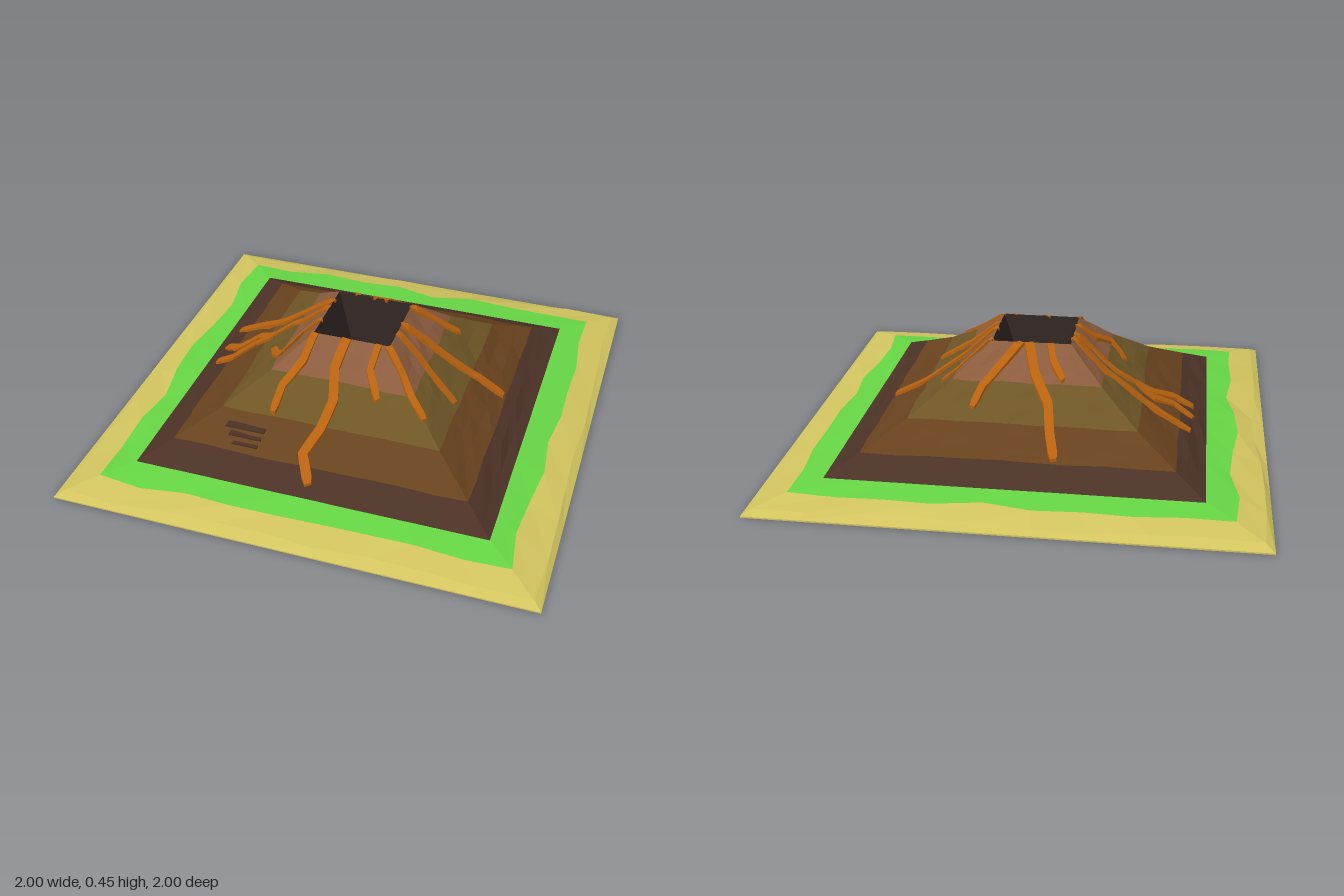
import * as THREE from 'three';

const SAND = 0xd2c45f, GRASS = 0x66d644, LAVA = 0xb8620f, CRATER = 0x2d2320;
const SEG = 9; // segments per side of a square ring
const RIM = 0.167;

// Seeded noise in -1..1
let seed = 7;
const rnd = () => {
  seed = (seed * 16807) % 2147483647;
  return (seed / 2147483647) * 2 - 1;
};

// Square ring of points, counter-clockwise from above; corners stay crisp
function ring(half, y, jitter = 0, jitterY = 0) {
  const pts = [];
  for (let s = 0; s < 4; s++) {
    const turn = (s * Math.PI) / 2;
    for (let i = 0; i < SEG; i++) {
      const out = half + (i ? rnd() * jitter : 0);
      const p = new THREE.Vector3(out, y + (i ? rnd() * jitterY : 0), half * (1 - (2 * i) / SEG));
      pts.push(p.applyAxisAngle(THREE.Object3D.DEFAULT_UP, turn));
    }
  }
  return pts;
}

// Faceted skin joining closed loops of equal length
function loft(name, loops, color) {
  const pts = [];
  for (let k = 0; k + 1 < loops.length; k++) {
    const a = loops[k], b = loops[k + 1];
    for (let i = 0; i < a.length; i++) {
      const j = (i + 1) % a.length;
      pts.push(a[i], a[j], b[j], a[i], b[j], b[i]);
    }
  }
  const geometry = new THREE.BufferGeometry().setFromPoints(pts);
  geometry.computeVertexNormals();
  const mesh = new THREE.Mesh(geometry, new THREE.MeshStandardMaterial({ color, flatShading: true }));
  mesh.name = name;
  return mesh;
}

// Cone profile: half width and height at each colour change
const PROFILE = [[0.75, 0.055], [0.63, 0.118], [0.47, 0.205], [0.31, 0.32], [RIM, 0.445]];
function surfaceY(x, z) {
  const h = Math.max(Math.abs(x), Math.abs(z));
  for (let i = 0; i < 4; i++) {
    const [h0, y0] = PROFILE[i], [h1, y1] = PROFILE[i + 1];
    if (h >= h1) return y0 + ((h0 - h) / (h0 - h1)) * (y1 - y0);
  }
  return 0.445;
}

// Raised lava ribbon clinging to the cone. It runs outward from one distance
// to another; the offsets are its sideways positions at even steps.
function stream(toWorld, from, to, offsets) {
  const width = 0.016 + 0.034 * to;
  const steps = (offsets.length - 1) * 4;
  const path = [];
  for (let i = 0; i <= steps; i++) {
    const k = Math.min(Math.floor(i / 4), offsets.length - 2);
    const side = THREE.MathUtils.lerp(offsets[k], offsets[k + 1], i / 4 - k);
    path.push(toWorld(THREE.MathUtils.lerp(from, to, i / steps), side));
  }
  const loops = path.map((p, i) => {
    const a = path[Math.max(i - 1, 0)], b = path[Math.min(i + 1, steps)];
    const w = width * (i === steps ? 0.35 : 0.5);
    const d = b.clone().sub(a).setLength(w);
    const at = (s, up) => {
      const x = p.x - d.y * s, z = p.y + d.x * s;
      return new THREE.Vector3(x, Math.min(surfaceY(x, z) + up, 0.447), z);
    };
    return [at(-1, -0.012), at(-1, 0.014), at(1, 0.014), at(1, -0.012)];
  });
  const cap = (loop) => {
    const c = loop[0].clone().add(loop[2]).multiplyScalar(0.5);
    return loop.map(() => c);
  };
  return loft('lavaStream', [cap(loops[0]), ...loops, cap(loops[steps])], LAVA);
}

export function createModel() {
  const model = new THREE.Group();
  model.name = 'volcanoIsland';
  seed = 7;

  // Sandy shore with flat underside, then the grass belt
  const grassEdge = ring(0.86, 0.046, 0.025, 0.004);
  const shore = ring(0.965, 0.024, 0.016, 0.004);
  model.add(loft('sandBase', [ring(0, 0), ring(1, 0), ring(1, 0.006), shore, grassEdge], SAND));
  model.add(loft('grassBelt', [grassEdge, ring(0.75, 0.056), ring(0.7, 0.056)], GRASS));

  // Four coloured rock bands, each with rough rings between its edges
  const names = ['lowerRock', 'middleRock', 'upperRock', 'summitRock'];
  const colors = [0x4c3226, 0x68421e, 0x6e5626, 0x8c5c3e];
  let lower = ring(...PROFILE[0]);
  names.forEach((name, i) => {
    const [h0, y0] = PROFILE[i], [h1, y1] = PROFILE[i + 1];
    const loops = [lower];
    for (let k = 1; k < 3; k++) {
      const t = k / 3;
      loops.push(ring(h0 + (h1 - h0) * t, y0 + (y1 - y0) * t, 0.006, 0.005));
    }
    const rough = i < 3 ? 0.004 : 0;
    lower = ring(h1, y1, rough, rough);
    model.add(loft(name, [...loops, lower], colors[i]));
  });

  // Crater pit
  model.add(loft('crater', [lower, ring(0.062, 0.2), ring(0, 0.2)], CRATER));

  // Thin rock ledges stepping down the front slope
  for (let i = 0; i < 3; i++) {
    const ledge = new THREE.Mesh(
      new THREE.BoxGeometry(0.17 - i * 0.03, 0.006, 0.05),
      new THREE.MeshStandardMaterial({ color: colors[0], flatShading: true })
    );
    ledge.name = 'rockLedge';
    ledge.position.set(-0.34 + i * 0.01, 0.172 - i * 0.017, 0.525 + i * 0.03);
    model.add(ledge);
  }

  // Lava streams on each slope: start, end, then sideways offsets
  const lava = new THREE.Group();
  lava.name = 'lavaStreams';
  const flow = (toWorld, streams) => streams.forEach(([from, to, ...offsets]) =>
    lava.add(stream(toWorld, from, to, offsets)));
  const v2 = (x, z) => new THREE.Vector2(x, z);

  // back slope
  flow((d, s) => v2(s, -d), [
    [RIM, 0.62, 0.01, -0.03, -0.1, -0.12, -0.15],
    [RIM, 0.42, 0.04, 0.11, 0.18, 0.21],
    [RIM, 0.3, -0.08, -0.1, -0.15],
  ]);
  // left slope
  flow((d, s) => v2(d, s), [
    [RIM, 0.37, -0.14, -0.2, -0.25],
    [RIM, 0.62, 0, -0.04, -0.05, -0.07, -0.06],
    [RIM, 0.46, 0.06, 0.08, 0.13, 0.17],
  ]);
  // right slope, with forked streams
  flow((d, s) => v2(-d, s), [
    [RIM, 0.68, -0.08, -0.14, -0.15, -0.19, -0.21],
    [RIM, 0.45, -0.03, -0.04, -0.07, -0.04],
    [0.44, 0.69, -0.04, -0.08, -0.03, -0.07],
    [0.44, 0.69, -0.04, -0.02, 0.05, 0.05],
    [RIM, 0.32, 0.06, 0.1, 0.22],
    [0.31, 0.38, 0.21, 0.17, 0.11],
  ]);
  // front slope
  flow((d, s) => v2(s, d), [
    [RIM, 0.46, -0.16, -0.18, -0.24, -0.25],
    [RIM, 0.7, -0.02, -0.04, -0.01, -0.03, -0.07, -0.01],
    [RIM, 0.35, 0.12, 0.11, 0.17],
    [RIM, 0.38, 0.16, 0.24, 0.3, 0.38],
  ]);
  model.add(lava);
  return model;
}
